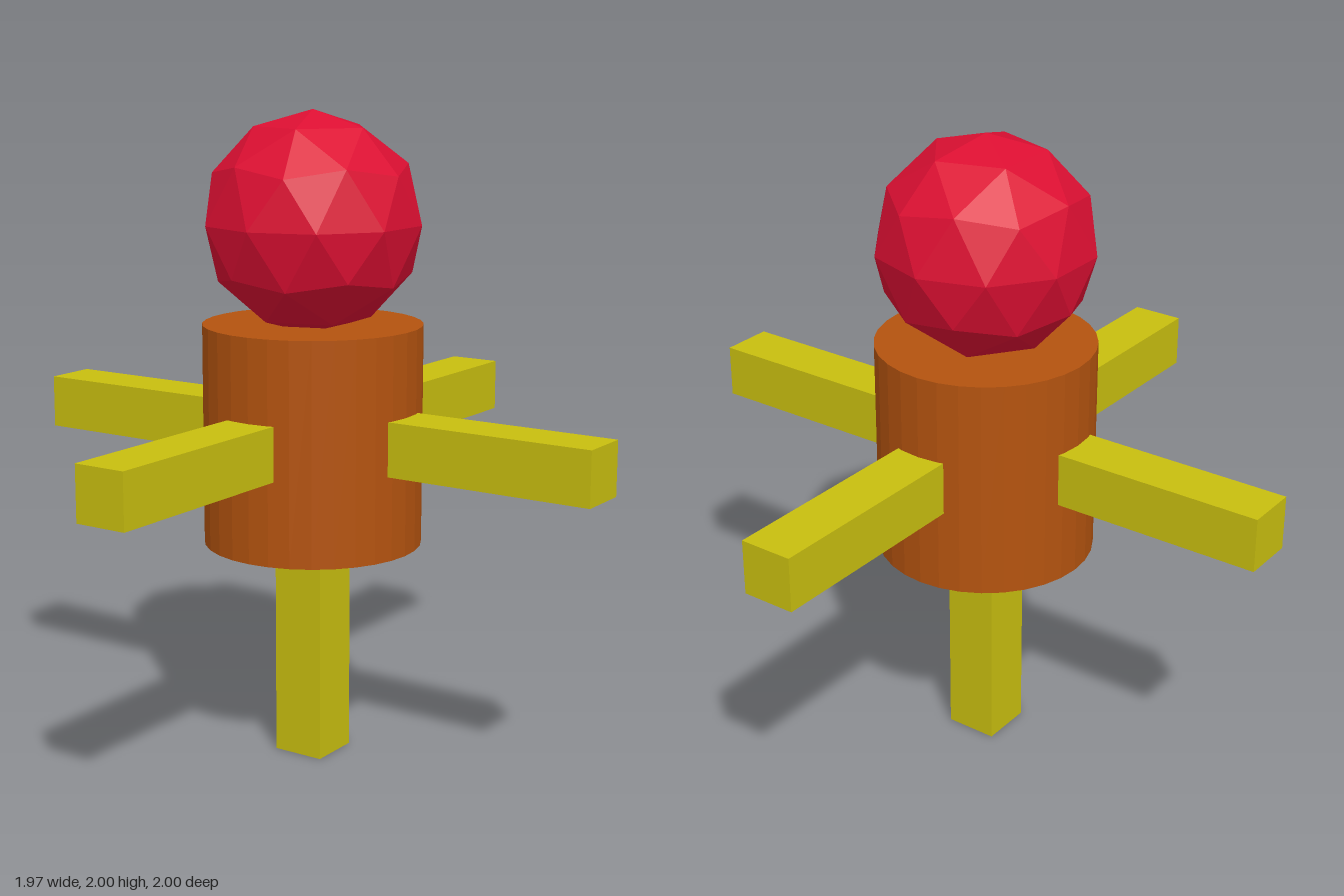
import * as THREE from 'three';

const paint = (color) => new THREE.MeshStandardMaterial({ color, flatShading: true });

export function createModel() {
  const model = new THREE.Group();
  const red = paint(0xdc0f32);
  const brown = paint(0xb4530f);
  const yellow = paint(0xc8be0f);

  const add = (name, geometry, material, x, y, z) => {
    const mesh = new THREE.Mesh(geometry, material);
    mesh.name = name;
    mesh.position.set(x, y, z);
    model.add(mesh);
  };

  // Faceted head, turned so that one corner points straight up
  const head = new THREE.IcosahedronGeometry(0.336, 1);
  head.rotateZ(-Math.atan(2 / (1 + Math.sqrt(5))));
  add('head', head, red, 0, 1.664, 0);

  // Drum-shaped body
  add('body', new THREE.CylinderGeometry(0.336, 0.336, 0.68, 32), brown, 0, 1.02, 0);

  // Four square arms, their inner ends sunk into the body
  const thick = 0.166, inner = 0.31, armY = 1.022;
  const reachX = 0.983, reachZ = 1;
  for (const side of [1, -1]) {
    add(side > 0 ? 'leftArm' : 'rightArm',
      new THREE.BoxGeometry(reachX - inner, thick, thick), yellow,
      side * (reachX + inner) / 2, armY, 0);
    add(side > 0 ? 'frontArm' : 'backArm',
      new THREE.BoxGeometry(thick, thick, reachZ - inner), yellow,
      0, armY, side * (reachZ + inner) / 2);
  }

  // Single square leg
  add('leg', new THREE.BoxGeometry(thick, 0.69, thick), yellow, 0, 0.345, 0);

  return model;
}
